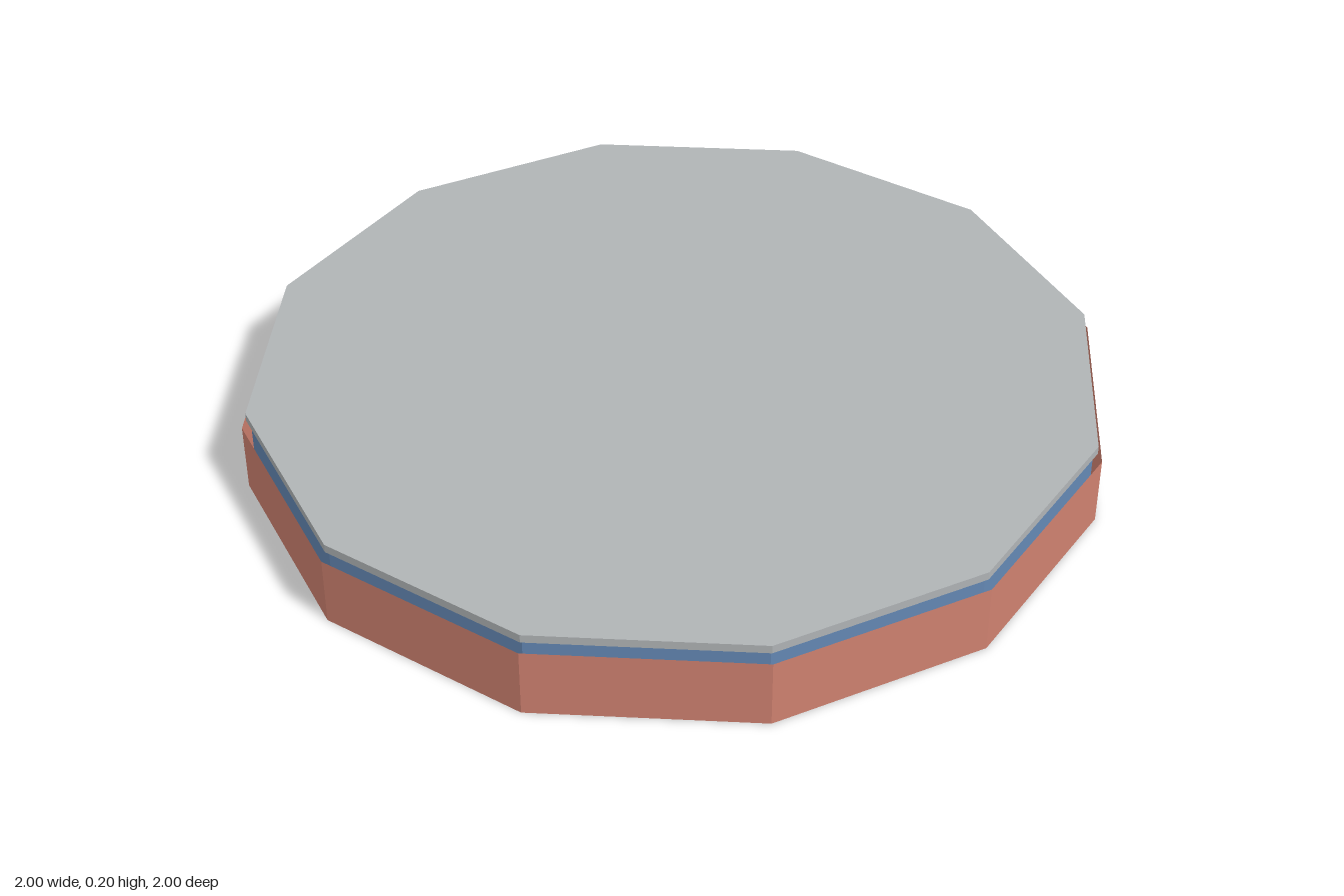
import * as THREE from 'three';

const SIDES = 12;
const TWIST = THREE.MathUtils.degToRad(-3);

const material = (name, color, options = {}) => {
  const m = new THREE.MeshStandardMaterial({ color, flatShading: true, ...options });
  m.name = name;
  return m;
};

export function createModel() {
  const group = new THREE.Group();
  group.name = 'lidOnRims';

  const salmon = material('salmon', 0xcf8170, { side: THREE.DoubleSide });
  const blue = material('blue', 0x6488b4, { side: THREE.DoubleSide });
  const grey = material('grey', 0xb0b4b6);
  const beige = material('beige', 0xbca98c);

  const add = (name, geometry, mat, y) => {
    const mesh = new THREE.Mesh(geometry, mat);
    mesh.name = name;
    mesh.position.y = y;
    group.add(mesh);
  };

  // Twelve-sided prism; open ones are thin walls
  const prism = (radius, height, open) =>
    new THREE.CylinderGeometry(radius, radius, height, SIDES, 1, open, TWIST, Math.PI * 2);

  // Two nested thin walls, the inner one raised
  add('outerRim', prism(1.0014, 0.165, true), salmon, 0.0825);
  add('innerRim', prism(0.98, 0.165, true), blue, 0.1025);

  // Flat lid
  add('lid', prism(0.99, 0.02, false), grey, 0.195);

  // Square block under the lid
  add('supportBlock', new THREE.BoxGeometry(0.865, 0.185, 0.865), beige, 0.0925);

  return group;
}
